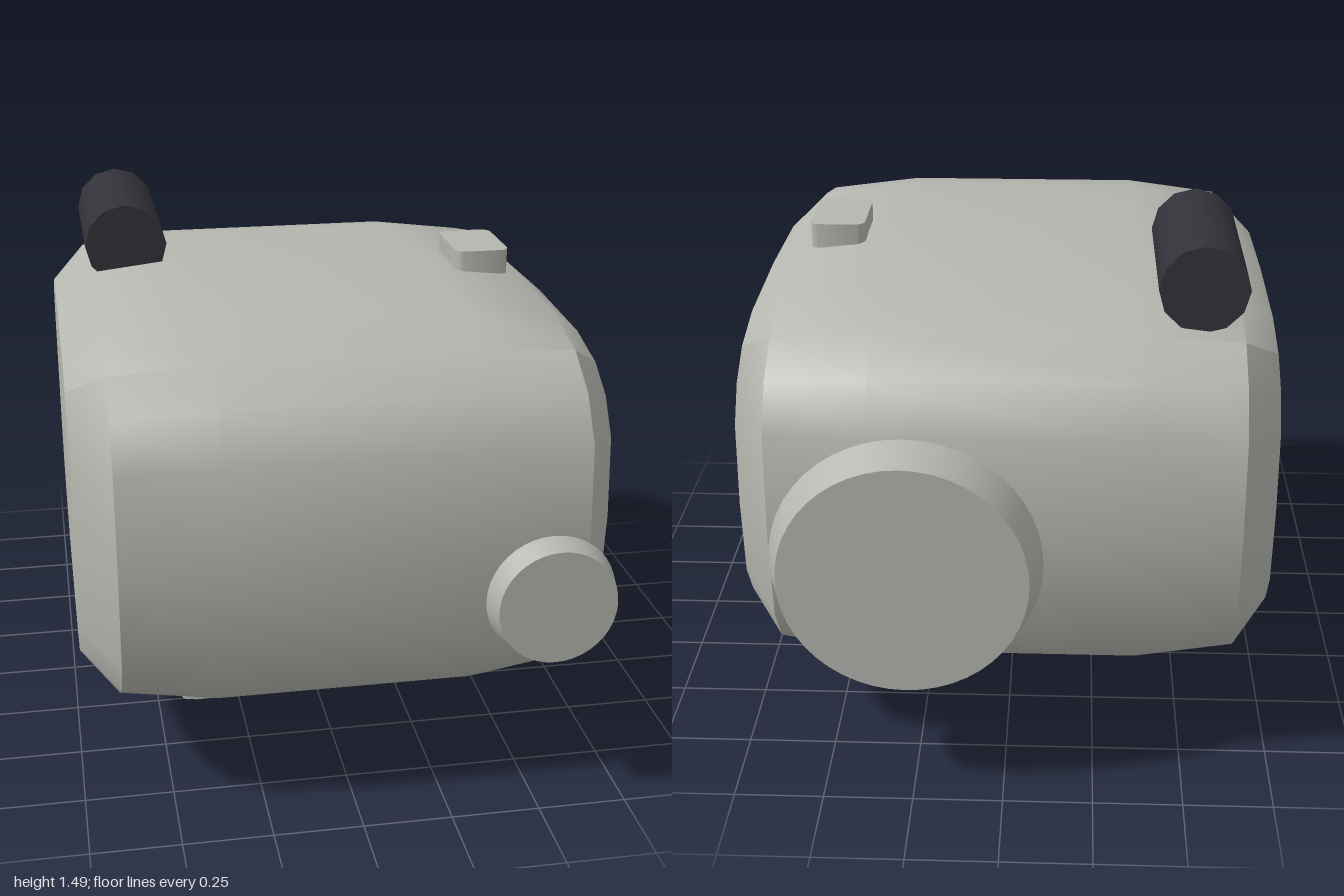
import * as THREE from 'three';
import { toCreasedNormals } from 'three/addons/utils/BufferGeometryUtils.js';

const shell = new THREE.MeshStandardMaterial({ name: 'warm grey shell', color: 0xb6b6b0 });
const dark = new THREE.MeshStandardMaterial({ name: 'dark charcoal', color: 0x33323a });

function add(group, name, geometry, material, x = 0, y = 0, z = 0) {
  const mesh = new THREE.Mesh(geometry, material);
  mesh.name = name;
  mesh.position.set(x, y, z);
  group.add(mesh);
  return mesh;
}

// Rounded housing: a mirrored quarter profile lofted across x
function bodyGeometry() {
  const quarter = [[0.913, 0], [0.889, 0.29], [0.808, 0.416], [0.68, 0.499], [0.465, 0.547], [0, 0.562]];
  const half = [...quarter, ...quarter.slice(0, -1).reverse().map(([z, y]) => [-z, y])];
  const loop = [...half, ...half.slice(1, -1).reverse().map(([z, y]) => [z, -y])];

  // [x, scale in z, scale in y]
  const side = [[0.36, 1, 1], [0.635, 0.956, 0.945], [0.738, 0.783, 0.783], [0.738, 0.6, 0.6], [0.738, 0, 0]];
  const rings = [...side.slice().reverse().map(([x, a, b]) => [-x, a, b]), ...side];

  const point = (i, j) => {
    const [x, sz, sy] = rings[i];
    const [z, y] = loop[j % loop.length];
    return [x, 0.763 + y * sy, 0.02 + z * sz];
  };
  const positions = [];
  for (let i = 0; i < rings.length - 1; i++) {
    for (let j = 0; j < loop.length; j++) {
      const a = point(i, j), b = point(i + 1, j), c = point(i + 1, j + 1), d = point(i, j + 1);
      if (rings[i][1] > 0) positions.push(...a, ...b, ...d);
      if (rings[i + 1][1] > 0) positions.push(...b, ...c, ...d);
    }
  }
  const geometry = new THREE.BufferGeometry();
  geometry.setAttribute('position', new THREE.Float32BufferAttribute(positions, 3));
  return toCreasedNormals(geometry, 0.715);
}

// Upright block with rounded vertical corners, its base at y = 0
function roundedBlock(w, h, d, r) {
  const x = w / 2 - r, y = d / 2 - r;
  const shape = new THREE.Shape();
  shape.absarc(x, y, r, 0, Math.PI / 2);
  shape.absarc(-x, y, r, Math.PI / 2, Math.PI);
  shape.absarc(-x, -y, r, Math.PI, Math.PI * 1.5);
  shape.absarc(x, -y, r, Math.PI * 1.5, Math.PI * 2);
  const geometry = new THREE.ExtrudeGeometry(shape, { depth: h, bevelEnabled: false, curveSegments: 5 });
  return toCreasedNormals(geometry.rotateX(-Math.PI / 2), 0.7);
}

export function createModel() {
  const model = new THREE.Group();
  model.name = 'sightingDevice';

  add(model, 'body', bodyGeometry(), shell);

  // Tapered lens housings, narrower at their outer faces
  const front = new THREE.CylinderGeometry(0.164, 0.18, 0.07, 40).rotateX(Math.PI / 2);
  add(model, 'frontEyepiece', front, shell, 0.52, 0.63, 0.965);
  const back = new THREE.CylinderGeometry(0.333, 0.367, 0.107, 48).rotateX(-Math.PI / 2);
  add(model, 'rearLens', back, shell, 0.26, 0.697, -0.9465);

  // Controls on top
  const knob = new THREE.CylinderGeometry(0.122, 0.122, 0.495, 12).rotateX(Math.PI / 2);
  add(model, 'topCylinder', knob, dark, -0.522, 1.37, -0.352);
  add(model, 'topButton', roundedBlock(0.16, 0.075, 0.24, 0.03), shell, 0.52, 1.295, 0.015);

  // Mounting foot with two rails and a locating peg
  add(model, 'mountBlock', roundedBlock(0.955, 0.2, 0.66, 0.03), shell, 0.0425, 0.055, 0.02);
  for (const z of [0.27, -0.23]) {
    add(model, 'mountRail', new THREE.BoxGeometry(0.865, 0.05, 0.022), shell, 0.0425, 0.036, z);
  }
  add(model, 'mountPeg', new THREE.CylinderGeometry(0.045, 0.045, 0.06, 12), shell, -0.262, 0.03, 0.02);

  return model;
}
